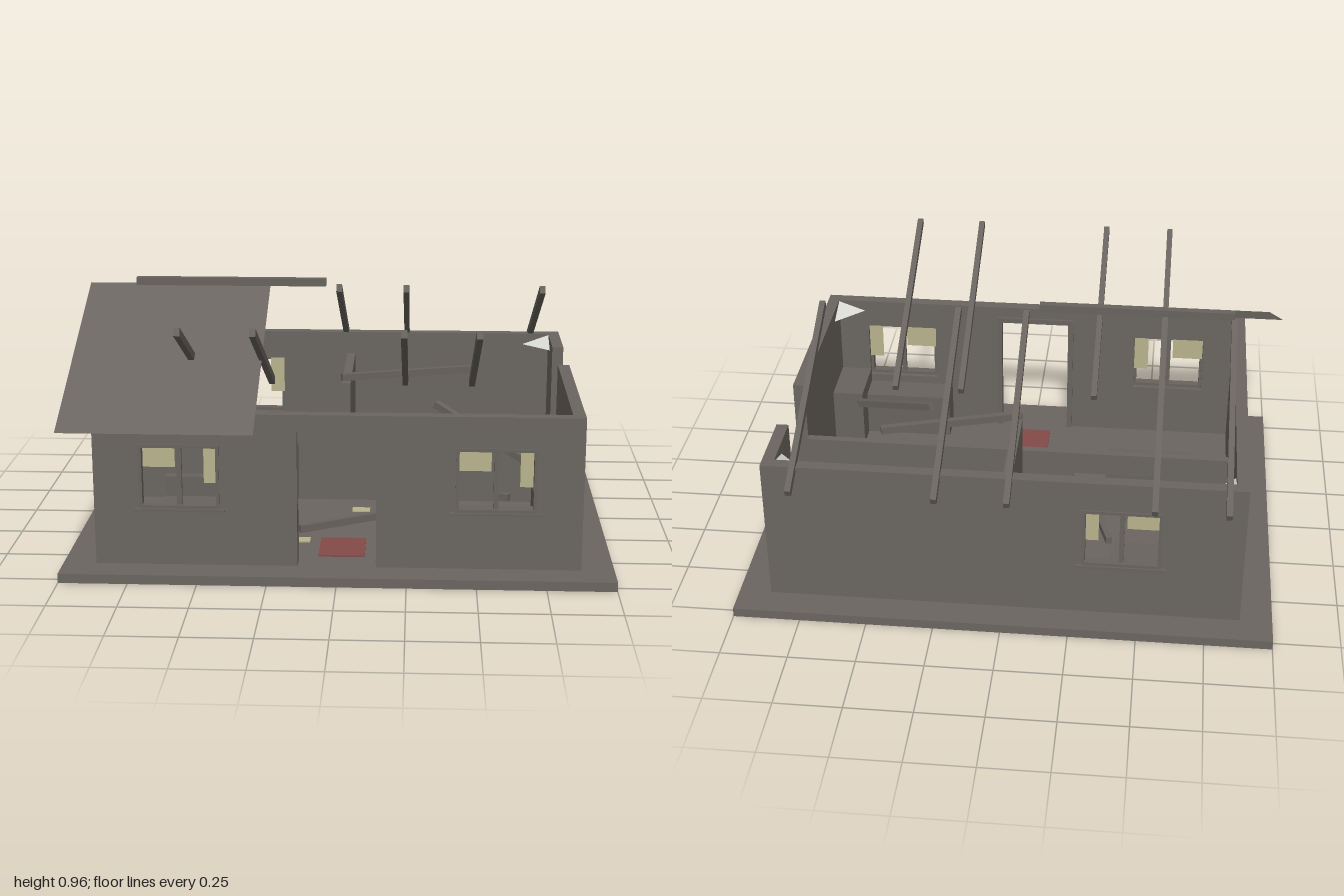
import * as THREE from 'three';

const mat = (name, color, side = THREE.FrontSide) => {
  const m = new THREE.MeshStandardMaterial({ color, side });
  m.name = name;
  return m;
};

export function createModel() {
  const root = new THREE.Group();
  root.name = 'ruinedHouse';
  const stone = mat('greyStone', 0x6a6560);
  const wood = mat('greyWood', 0x68635e);
  const roofing = mat('greyRoofing', 0x6a6560, THREE.DoubleSide);
  const cloth = mat('fadedYellow', 0xb8b38d, THREE.DoubleSide);
  const red = mat('dullRed', 0x844a48);
  const pale = mat('paleGrey', 0xd8d8d4, THREE.DoubleSide);

  const add = (parent, name, geo, material) => {
    const m = new THREE.Mesh(geo, material);
    m.name = name;
    parent.add(m);
    return m;
  };
  // Box given by its limits on each axis
  const box = (parent, name, material, x0, x1, y0, y1, z0, z1) => {
    const m = add(parent, name, new THREE.BoxGeometry(x1 - x0, y1 - y0, z1 - z0), material);
    m.position.set((x0 + x1) / 2, (y0 + y1) / 2, (z0 + z1) / 2);
    return m;
  };
  // Square beam between two points
  const beam = (name, a, b, w = 0.024, h = 0.028) => {
    const p = new THREE.Vector3(...a), q = new THREE.Vector3(...b);
    const m = add(root, name, new THREE.BoxGeometry(w, h, p.distanceTo(q)), wood);
    m.position.copy(p).add(q).multiplyScalar(0.5);
    m.lookAt(q);
    return m;
  };

  const F = 0.035, TOP = 0.605, T = 0.045;
  box(root, 'foundation', stone, -1, 1, 0, F, -0.785, 0.785);

  // Wall in its own frame: x along it, y up, outside towards +z
  const W0 = 0.25, W1 = 0.49, HALF = 0.145;
  const wall = (name, half, windows, door, t = T, top = TOP) => {
    const g = new THREE.Group();
    g.name = name;
    const pts = [[-half, F]];
    if (door) pts.push([door[0], F], [door[0], door[2]], [door[1], door[2]], [door[1], F]);
    pts.push([half, F], [half, top], [-half, top]);
    const shape = new THREE.Shape(pts.map(p => new THREE.Vector2(...p)));
    for (const x of windows) {
      shape.holes.push(new THREE.Path([
        [x - HALF, W0], [x - HALF, W1], [x + HALF, W1], [x + HALF, W0],
      ].map(p => new THREE.Vector2(...p))));
    }
    add(g, name + 'Panel', new THREE.ExtrudeGeometry(shape, { depth: t, bevelEnabled: false }), stone);
    root.add(g);
    return g;
  };

  // Window frame, cross bars, sill and torn curtains; dir is the side of the short curtain
  const windowParts = (g, x, dir, curtains = true) => {
    const z0 = 0.018, z1 = T + 0.006, b = 0.012;
    box(g, 'windowFrame', wood, x - HALF, x - HALF + b, W0, W1, z0, z1);
    box(g, 'windowFrame', wood, x + HALF - b, x + HALF, W0, W1, z0, z1);
    box(g, 'windowFrame', wood, x - HALF, x + HALF, W1 - b, W1, z0, z1);
    box(g, 'windowFrame', wood, x - HALF, x + HALF, W0, W0 + b, z0, z1);
    box(g, 'windowBar', wood, x - 0.009, x + 0.009, W0, W1, 0.022, 0.038);
    box(g, 'windowSill', wood, x - 0.165, x + 0.165, W0 - 0.012, W0, 0.005, T + 0.012);
    if (!curtains) return;
    for (const [c, w, low] of [[-0.08, 0.125, 0.395], [0.115, 0.058, 0.337]]) {
      const m = add(g, 'curtain', new THREE.PlaneGeometry(w, W1 - low), cloth);
      m.position.set(x + dir * c, (W1 + low) / 2, 0.012);
    }
  };

  // Front wall with the open doorway
  const front = wall('frontWall', 0.88, [-0.57, 0.568], [-0.145, 0.14, 0.54]);
  front.position.z = 0.67 - T;
  for (const x of [-0.57, 0.568]) windowParts(front, x, 1);
  for (const [a, b] of [[-0.165, -0.143], [0.138, 0.16]])
    box(front, 'doorJamb', wood, a, b, F, 0.56, -0.01, 0.01);
  box(front, 'doorLintel', wood, -0.165, 0.16, 0.538, 0.56, -0.01, 0.01);

  // Back wall
  const back = wall('backWall', 0.88, [0.435]);
  back.rotation.y = Math.PI;
  back.position.z = -0.67 + T;
  windowParts(back, 0.435, -1);

  // Side walls; one is broken through
  const side = wall('rightWall', 0.625, [0]);
  side.rotation.y = -Math.PI / 2;
  side.position.x = -0.88 + T;
  windowParts(side, 0, 1, false);
  box(root, 'leftWallFront', stone, 0.835, 0.88, F, TOP, -0.095, 0.625);
  box(root, 'leftWallBack', stone, 0.835, 0.88, F, TOP, -0.625, -0.385);

  // Low inner walls
  const cross = wall('crossPartition', 0.835, [], [-0.53, -0.22, 0.28], 0.03, 0.372);
  cross.position.z = -0.115;
  box(root, 'roomPartition', stone, -0.02, 0.015, F, 0.513, -0.625, -0.115);

  // Rafters all lean the same way, some standing above the fallen half
  for (const x of [-0.81, -0.55, -0.025, 0.235, 0.76])
    beam('backRafter', [x, 0.925, -0.005], [x, 0.555, -0.765], 0.022, 0.03);
  for (const x of [-0.55, -0.288, 0.235, 0.495])
    beam('frontRafter', [x, 0.925, 0.765], [x, 0.555, 0.005], 0.022, 0.03);
  box(root, 'ridgeBeam', wood, -0.81, -0.075, 0.934, 0.964, -0.014, 0.014);

  // Remaining sheet of roof
  const roof = add(root, 'roofSheet', new THREE.PlaneGeometry(0.7, Math.hypot(0.78, 0.38)), roofing);
  roof.rotation.x = -Math.atan2(0.78, 0.38);
  roof.position.set(-0.64, 0.75, 0.39);

  // Fallen beams
  const fallen = [
    [[-0.375, 0.06, -0.25], [-0.25, 0.06, 0.15]],
    [[-0.16, 0.06, 0.34], [0.295, 0.06, 0.085]],
    [[-0.02, 0.538, -0.12], [0.505, 0.538, -0.28]],
    [[0.335, 0.06, -0.245], [0.655, 0.06, -0.065]],
    [[0.355, 0.47, 0.02], [0.695, 0.32, 0.265]],
  ];
  for (const [a, b] of fallen) beam('fallenBeam', a, b);

  // Bed
  box(root, 'bedFrame', wood, -0.8, -0.385, F, 0.13, -0.612, -0.395);
  box(root, 'mattress', wood, -0.795, -0.4, 0.13, 0.17, -0.605, -0.405);
  box(root, 'pillow', pale, -0.8, -0.715, 0.17, 0.195, -0.6, -0.405);

  // Other furniture
  box(root, 'nightCabinet', wood, -0.12, -0.035, F, 0.14, -0.43, -0.29);
  box(root, 'desk', wood, 0.25, 0.47, F, 0.2, -0.62, -0.455);
  box(root, 'crate', wood, 0.19, 0.33, F, 0.14, -0.075, 0.04);
  box(root, 'counter', wood, 0.355, 0.71, F, 0.22, 0.5, 0.62);
  box(root, 'cupboard', wood, 0.71, 0.835, F, 0.28, 0.4, 0.62);
  box(root, 'sofaSeat', wood, -0.7, -0.34, F, 0.12, 0.15, 0.33);
  box(root, 'sofaBack', wood, -0.7, -0.34, F, 0.2, 0.11, 0.15);

  // Rug and scattered papers
  box(root, 'rug', red, -0.075, 0.095, F, F + 0.006, 0.38, 0.57);
  for (const [x, z] of [[-0.48, -0.29], [0.59, -0.43], [0.065, 0.045], [-0.15, 0.4]])
    box(root, 'paper', cloth, x - 0.035, x + 0.035, F, F + 0.005, z - 0.022, z + 0.022);

  // Cobwebs in the upper corners
  for (const [sx, sz] of [[1, 1], [1, -1], [-1, -1]]) {
    const x = 0.835 * sx, z = 0.625 * sz, d = 0.11;
    const geo = new THREE.BufferGeometry().setFromPoints([
      new THREE.Vector3(x, 0.6, z),
      new THREE.Vector3(x - d * sx, 0.56, z),
      new THREE.Vector3(x, 0.56, z - d * sz),
    ]);
    if (sx * sz > 0) geo.setIndex([0, 2, 1]);
    else geo.setIndex([0, 1, 2]);
    geo.computeVertexNormals();
    add(root, 'cobweb', geo, pale);
  }
  return root;
}
